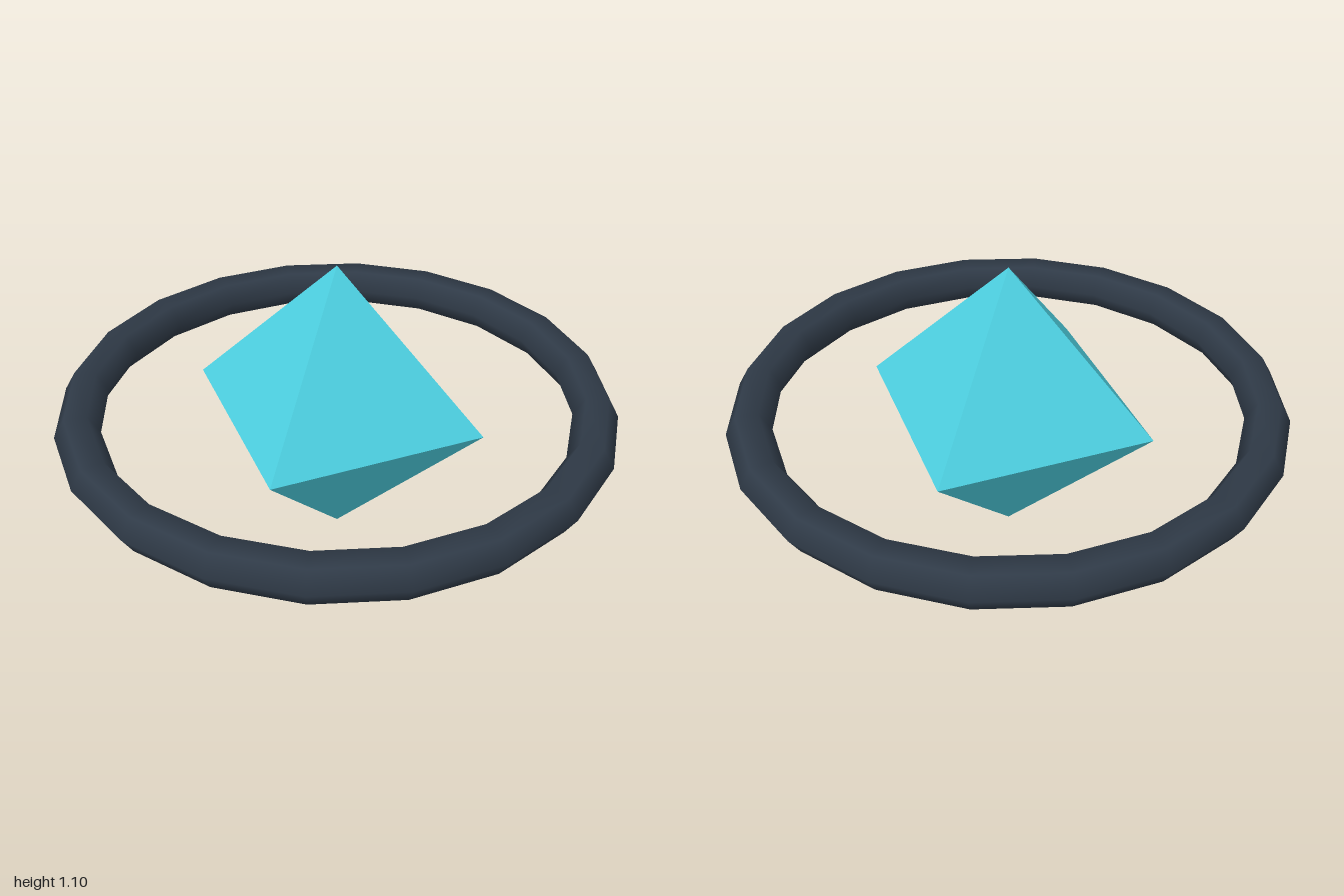
import * as THREE from 'three';

const CENTRE_Y = 0.55;

export function createModel() {
  const group = new THREE.Group();
  group.name = 'ringedCrystal';

  // Faceted eight-sided crystal
  const crystal = new THREE.Mesh(
    new THREE.OctahedronGeometry(0.55),
    new THREE.MeshStandardMaterial({ color: 0x4dd0e1, flatShading: true })
  );
  crystal.name = 'crystal';
  crystal.position.y = CENTRE_Y;

  // Level ring around it: six-sided tube in twenty segments, smooth shaded
  const ring = new THREE.Mesh(
    new THREE.TorusGeometry(0.92, 0.08, 6, 20),
    new THREE.MeshStandardMaterial({ color: 0x2f3a47 })
  );
  ring.name = 'ring';
  ring.rotation.x = Math.PI / 2;
  ring.position.y = CENTRE_Y;

  group.add(crystal, ring);
  return group;
}
